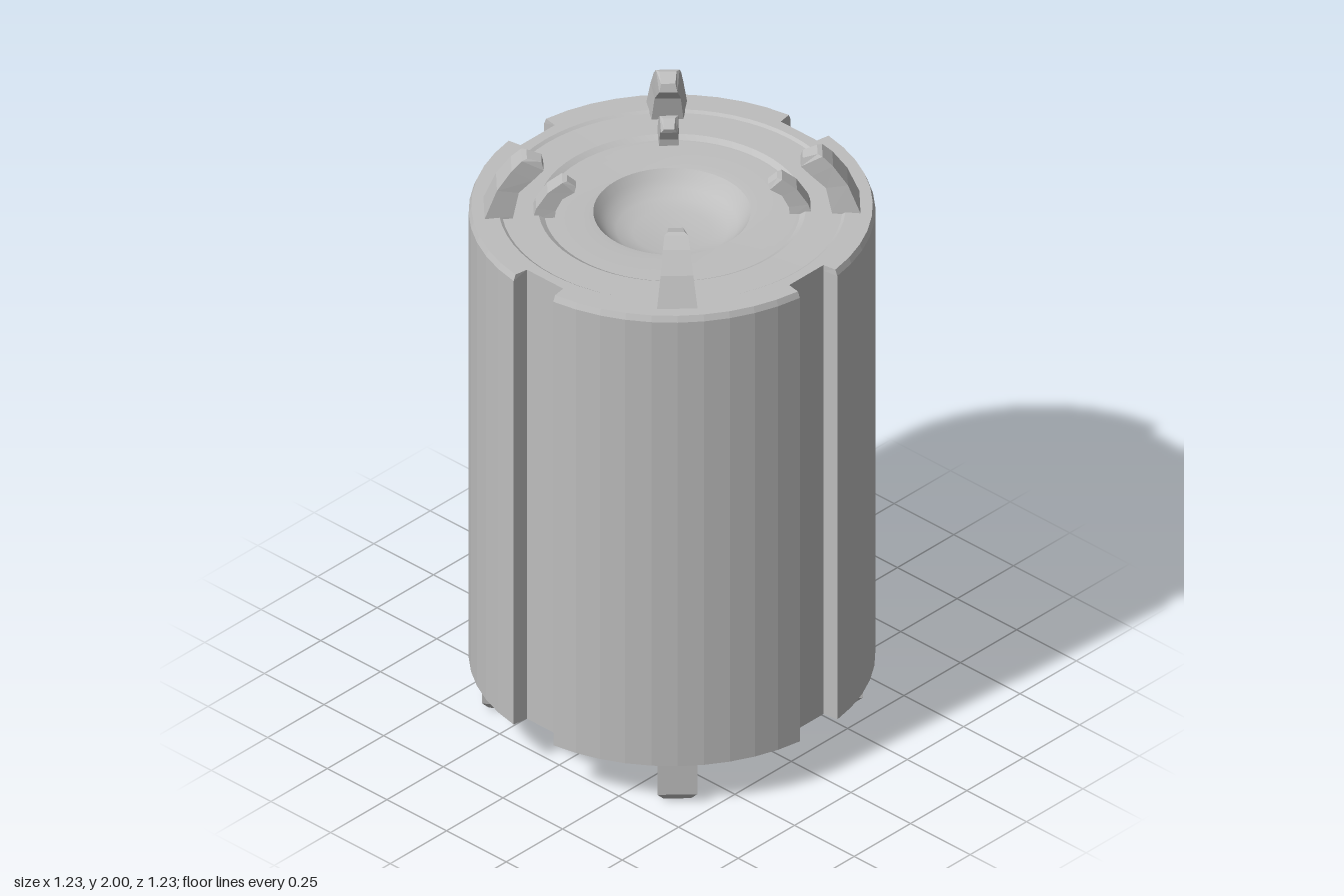
import * as THREE from 'three';
import { toCreasedNormals } from 'three/addons/utils/BufferGeometryUtils.js';

// Flat-shaded skin through equal-length loops, lowest first; caps suit convex loops
function loft(loops, capped) {
  const n = loops[0].length, index = [];
  for (let s = 0; s < loops.length - 1; s++) {
    for (let i = 0; i < n; i++) {
      const j = (i + 1) % n, a = s * n + i, b = s * n + j;
      index.push(a, b, b + n, a, b + n, a + n);
    }
  }
  if (capped) {
    const t = (loops.length - 1) * n;
    for (let i = 1; i < n - 1; i++) index.push(0, i + 1, i, t, t + i, t + i + 1);
  }
  const g = new THREE.BufferGeometry();
  g.setAttribute('position', new THREE.Float32BufferAttribute(loops.flat(2), 3));
  g.setIndex(index);
  const flat = g.toNonIndexed();
  flat.computeVertexNormals();
  return flat;
}

// Cross-section of a prong: outer and inner radius, height and half width
const section = ([ro, yo, wo, ri, yi, wi]) =>
  [[ro, yo, wo], [ro, yo, -wo], [ri, yi, -wi], [ri, yi, wi]];

// Circle of radius r with four straight-sided notches
function outline(r, steps = 10) {
  const pts = [];
  const a0 = Math.asin(0.083 / r);
  for (let k = 0; k < 4; k++) {
    const turn = k * Math.PI / 2, zero = new THREE.Vector2();
    const add = (x, y) => pts.push(new THREE.Vector2(x, y).rotateAround(zero, turn));
    add(0.563, 0.076);
    for (let i = 0; i <= steps; i++) {
      const a = a0 + (Math.PI / 2 - 2 * a0) * i / steps;
      add(r * Math.cos(a), r * Math.sin(a));
    }
    add(0.076, 0.563);
  }
  return pts;
}

export function createModel() {
  const model = new THREE.Group();
  const grey = new THREE.MeshStandardMaterial({ color: 0xbebebe });
  grey.name = 'grey';
  const add = (name, geometry, parent = model) => {
    const mesh = new THREE.Mesh(geometry, grey);
    mesh.name = name;
    parent.add(mesh);
    return mesh;
  };

  // Notched body wall with a small bevel at the top
  const level = (r, y) => outline(r).map(p => [p.x, y, -p.y]);
  add('bodyWall', loft([level(0.62, 0.165), level(0.62, 1.785), level(0.612, 1.805)]));
  add('bodyBottom', new THREE.ShapeGeometry(new THREE.Shape(outline(0.62)))
    .rotateX(Math.PI / 2).translate(0, 0.165, 0));

  // Top rim, open in the middle
  const rim = new THREE.Shape(outline(0.612));
  rim.holes.push(new THREE.Path().absarc(0, 0, 0.53, 0, Math.PI * 2, true));
  add('topRim', new THREE.ShapeGeometry(rim, 32).rotateX(-Math.PI / 2).translate(0, 1.805, 0));

  // Stepped lid falling into the central dish
  const profile = [
    [0.53, 1.805], [0.52, 1.798], [0.408, 1.796], [0.39, 1.785], [0.27, 1.785], [0.24, 1.782],
    [0.222, 1.757], [0.2, 1.735], [0.17, 1.718], [0.12, 1.708], [0, 1.705],
  ].map(([x, y]) => new THREE.Vector2(x, y));
  add('lidAndDish', toCreasedNormals(new THREE.LatheGeometry(profile, 64), 0.4));

  // Prongs as cross-sections, bottom to top
  const largeClaw = loft([
    [0.575, 1.78, 0.063, 0.49, 1.78, 0.05],
    [0.573, 1.805, 0.062, 0.485, 1.805, 0.048],
    [0.535, 1.9, 0.05, 0.468, 1.885, 0.04],
    [0.49, 1.965, 0.042, 0.425, 1.925, 0.034],
    [0.458, 1.997, 0.036, 0.392, 1.957, 0.028],
    [0.443, 2, 0.026, 0.398, 1.985, 0.022],
  ].map(section), true);
  const smallClaw = loft([
    [0.43, 1.77, 0.034, 0.36, 1.77, 0.03],
    [0.415, 1.82, 0.032, 0.355, 1.81, 0.028],
    [0.38, 1.875, 0.03, 0.335, 1.85, 0.027],
    [0.335, 1.91, 0.028, 0.298, 1.872, 0.025],
    [0.32, 1.91, 0.018, 0.293, 1.888, 0.016],
  ].map(section), true);
  const foot = loft([
    [0.56, 0.008, 0.042, 0.518, 0, 0.04],
    [0.58, 0.035, 0.061, 0.5, 0.025, 0.055],
    [0.58, 0.18, 0.061, 0.5, 0.18, 0.055],
  ].map(section), true);

  // One set of prongs on each diagonal
  for (let k = 0; k < 4; k++) {
    const corner = new THREE.Group();
    corner.name = 'cornerProngs';
    corner.rotation.y = Math.PI / 4 + k * Math.PI / 2;
    add('largeClaw', largeClaw, corner);
    add('smallClaw', smallClaw, corner);
    add('foot', foot, corner);
    model.add(corner);
  }
  return model;
}
